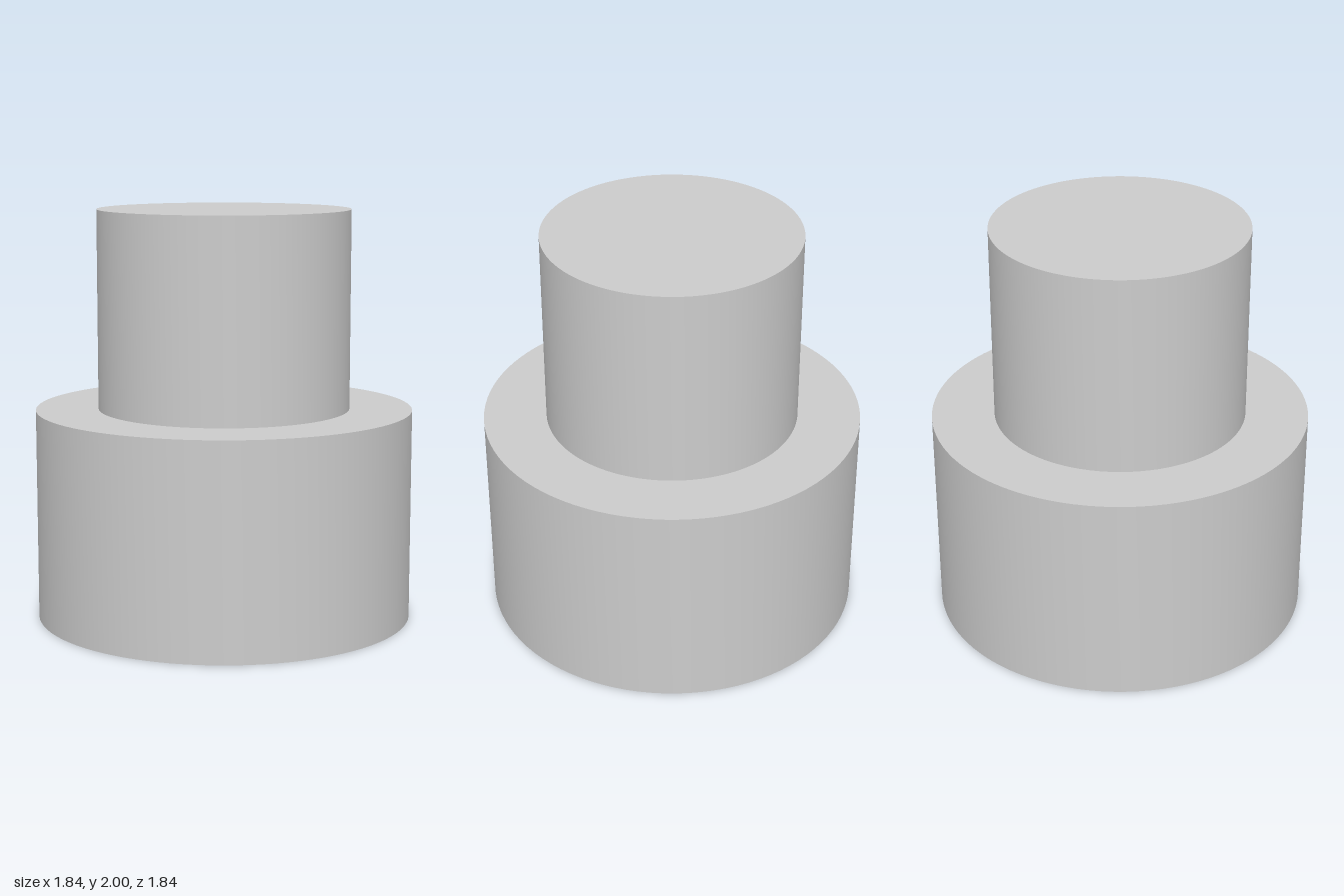
import * as THREE from 'three';
import { toCreasedNormals } from 'three/addons/utils/BufferGeometryUtils.js';

const BASE_RADIUS = 0.92;
const NECK_RADIUS = 0.615;
const STEP_HEIGHT = 1.03;
const TOP_HEIGHT = 2;

export function createModel() {
  const group = new THREE.Group();
  group.name = 'steppedCylinder';

  // Closed stepped profile, from the bottom centre up to the top centre
  const profile = [
    [0, 0],
    [BASE_RADIUS, 0],
    [BASE_RADIUS, STEP_HEIGHT],
    [NECK_RADIUS, STEP_HEIGHT],
    [NECK_RADIUS, TOP_HEIGHT],
    [0, TOP_HEIGHT],
  ].map(([r, y]) => new THREE.Vector2(r, y));

  // Smooth round walls with sharp rims
  const geometry = toCreasedNormals(new THREE.LatheGeometry(profile, 96), Math.PI / 6);
  const body = new THREE.Mesh(geometry, new THREE.MeshStandardMaterial({ color: 0xcccccc }));
  body.name = 'steppedBody';
  group.add(body);

  return group;
}
